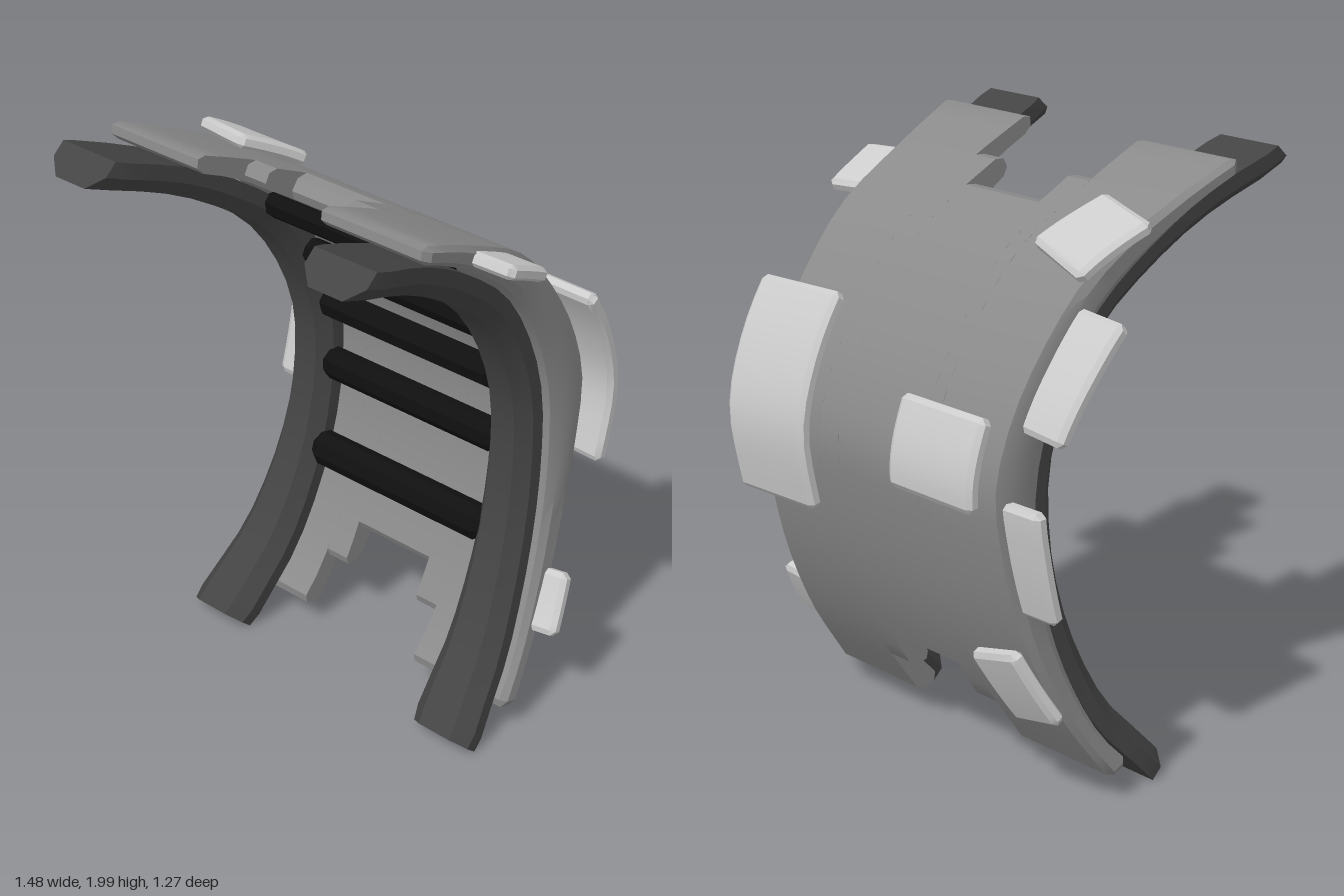
import * as THREE from 'three';
import { toCreasedNormals } from 'three/addons/utils/BufferGeometryUtils.js';

const V = (x, y, z) => new THREE.Vector3(x, y, z);
const paint = (color) => new THREE.MeshStandardMaterial({ color });

// Side profile, bottom to top, given as [z, y] pairs
function profile(pairs) {
  const curve = new THREE.CatmullRomCurve3(pairs.map(([z, y]) => V(0, y, z)));
  curve.arcLengthDivisions = 400;
  const length = curve.getLength();
  return {
    length,
    // Point at x, fraction u along the profile, shifted "inward" towards the front
    at(x, u, inward) {
      const k = THREE.MathUtils.clamp(u, 0, 1);
      const p = curve.getPointAt(k), t = curve.getTangentAt(k);
      p.addScaledVector(t, (u - k) * length);
      return V(x, p.y - t.z * inward, p.z + t.y * inward);
    },
    // Fraction along the profile where it reaches height y
    uAtY(y) {
      let lo = 0, hi = 1;
      for (let i = 0; i < 30; i++) {
        const mid = (lo + hi) / 2;
        if (curve.getPointAt(mid).y < y) lo = mid; else hi = mid;
      }
      return lo;
    },
  };
}

// Chamfered slab over x0..x1 and s0..s1, bent by map(x, s, c); c is -1 at the back, 1 at the front
function slab({ x0, x1, s0, s1, left = 0, right = 0, ends = 0, corner = 0, rows = 12, depthRows = 1 }, map) {
  const geo = new THREE.BoxGeometry(2, 2, 2, 3, rows, depthRows);
  const pos = geo.attributes.position;
  const xs = [x0, x0 + (left || 0.02), x1 - (right || 0.02), x1];
  for (let i = 0; i < pos.count; i++) {
    const a = Math.round((pos.getX(i) + 1) * 1.5);
    const b = Math.round((pos.getY(i) + 1) * rows / 2);
    let c = pos.getZ(i), x = xs[a], s;
    const atEnd = b === 0 || b === rows, atSide = (a === 0 && left) || (a === 3 && right);
    if (b === 0) s = s0;
    else if (b === rows) s = s1;
    else s = THREE.MathUtils.lerp(s0 + (ends || 0.02), s1 - (ends || 0.02), (b - 1) / (rows - 2));
    if ((atEnd && ends) || atSide) c *= 0.5;
    if (atEnd && atSide) {
      x += (a === 0 ? 1 : -1) * corner;
      s += (b === 0 ? 1 : -1) * corner;
    }
    const p = map(x, s, c);
    pos.setXYZ(i, p.x, p.y, p.z);
  }
  return toCreasedNormals(geo, 0.5);
}

export function createModel() {
  const model = new THREE.Group();
  const shellMat = paint(0x8a8a8a), railMat = paint(0x444444), rungMat = paint(0x101010), plateMat = paint(0xc0c0c0);
  const add = (name, geo, mat, parent = model) => {
    const mesh = new THREE.Mesh(geo, mat);
    mesh.name = name;
    parent.add(mesh);
    return mesh;
  };

  // Outer face of the shell, and back face of the rails
  const outer = profile([[-0.155, 0.08], [-0.35, 0.37], [-0.475, 0.65], [-0.55, 0.95], [-0.568, 1.13],
    [-0.52, 1.3], [-0.42, 1.48], [-0.2, 1.73], [0.1, 1.89], [0.36, 2.0]]);
  const rail = profile([[0.045, 0.005], [-0.06, 0.122], [-0.17, 0.25], [-0.295, 0.5], [-0.365, 0.74], [-0.39, 0.96],
    [-0.38, 1.15], [-0.305, 1.37], [-0.15, 1.6], [0.1, 1.79], [0.3, 1.9], [0.555, 1.998]]);

  // Back shell: overlapping strips give both ends a stepped notch; its inner face hugs the rails
  const shell = new THREE.Group();
  shell.name = 'backShell';
  model.add(shell);
  const strip = (name, x0, x1, yLow, yHigh, left, right) => {
    const s0 = yLow ? outer.uAtY(yLow) * outer.length : 0;
    const s1 = yHigh ? outer.uAtY(yHigh) * outer.length : outer.length;
    add(name, slab({ x0, x1, s0, s1, left, right, ends: 0.03, corner: 0.012, rows: 28 }, (x, s, c) => {
      const u = s / outer.length;
      const edge = 0.55 + 0.095 * (2 * u - 1) ** 2;
      const ax = Math.abs(x);
      // The outer edges are waisted at mid height
      const wx = ax <= 0.25 ? x : Math.sign(x) * (0.25 + (ax - 0.25) * (edge - 0.25) / 0.38);
      const inner = rail.at(wx, THREE.MathUtils.lerp(0.062, 0.925, u), -0.012);
      return outer.at(wx, u, 0).lerp(inner, (c + 1) / 2);
    }), shellMat, shell);
  };
  strip('shellCentre', -0.2, 0.2, 0.375, 1.85, 0, 0);
  strip('shellStepRight', -0.25, -0.16, 0.245, 1.91, 0, 0);
  strip('shellStepLeft', 0.16, 0.25, 0.245, 1.91, 0, 0);
  strip('shellSideRight', -0.63, -0.25, 0, 0, 0.02, 0);
  strip('shellSideLeft', 0.25, 0.63, 0, 0, 0, 0.02);

  // Side rails: the section narrows towards the front, the top end is cut at a slant
  for (const side of [-1, 1]) {
    add(side > 0 ? 'railLeft' : 'railRight',
      slab({ x0: -1, x1: 1, s0: 0, s1: 1, rows: 24, depthRows: 2 }, (x, u, c) => {
        const bow = (2 * u - 1) ** 2;
        const inX = 0.345 + 0.045 * bow, outX = 0.515 + 0.125 * bow;
        const tip = u === 0 || u === 1 ? 0.92 : 1;
        const width = (c > 0.5 ? 0.55 : 1) * tip;
        const px = side * (inX + outX) / 2 + x * width * (outX - inX) / 2;
        return rail.at(px, u === 1 ? 1 + 0.01 * (c + 1) : u, 0.1 * (c + 1) / 2);
      }), railMat);
  }

  // Rungs: flattened faceted bars with tapered ends
  for (const [y, r] of [[1.645, 0.056], [1.405, 0.058], [1.185, 0.06], [0.942, 0.06], [0.622, 0.064]]) {
    const ends = [[0, -0.38], [r * 0.6, -0.38], [r, -0.35], [r, 0.35], [r * 0.6, 0.38], [0, 0.38]];
    const geo = new THREE.LatheGeometry(ends.map(([a, b]) => new THREE.Vector2(a, b)), 8);
    geo.rotateZ(Math.PI / 2);
    geo.rotateX(Math.PI / 8);
    geo.scale(1, 1, 0.8);
    const bar = add('rung', toCreasedNormals(geo, 0.3), rungMat);
    const u = rail.uAtY(y);
    bar.position.copy(rail.at(0, u, 0.045));
    const facing = rail.at(0, u, 1).sub(rail.at(0, u, 0));
    bar.rotation.x = -Math.atan2(facing.y, facing.z);
    // Keep the bar at its height after moving it forwards
    bar.position.y = y;
  }

  // Armour plates bent along the shell: x, y, width, height, inward shift, tilt in degrees
  const plates = [
    ['largePlate', 0.46, 1.205, 0.37, 0.69, -0.036, -2],
    ['middlePlate', -0.29, 1.195, 0.36, 0.28, -0.018, 0],
    ['upperRightPlate', -0.483, 1.793, 0.275, 0.265, -0.025, 18],
    ['upperLeftPlate', 0.59, 1.84, 0.28, 0.23, 0.035, -6],
    ['lowerLeftPlate', 0.555, 0.385, 0.25, 0.22, 0.03, 8],
    ['sideRightPlate', -0.58, 1.5, 0.29, 0.42, 0.06, 5],
    ['lowerSidePlate', -0.555, 0.905, 0.27, 0.39, 0.045, -1],
    ['bottomRightPlate', -0.475, 0.455, 0.23, 0.28, -0.026, -18],
  ];
  for (const [name, cx, cy, w, h, shift, tilt] of plates) {
    const u0 = outer.uAtY(cy);
    const cos = Math.cos(tilt * Math.PI / 180), sin = Math.sin(tilt * Math.PI / 180);
    add(name, slab({ x0: -w / 2, x1: w / 2, s0: -h / 2, s1: h / 2, left: 0.018, right: 0.018, ends: 0.018, corner: 0.01 },
      (x, s, c) => outer.at(cx + x * cos - s * sin, u0 + (x * sin + s * cos) / outer.length, shift + c * 0.023)), plateMat);
  }
  return model;
}
